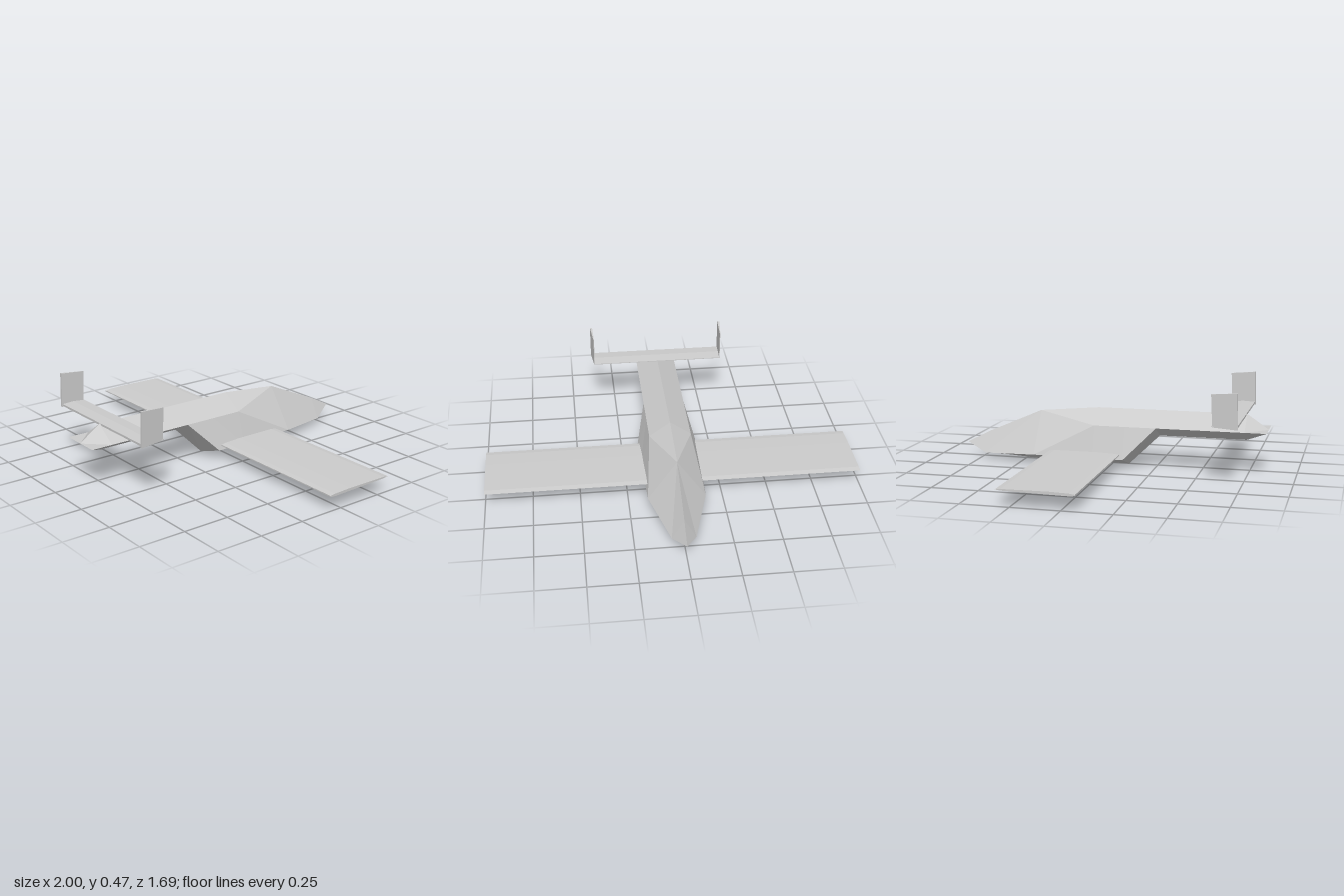
import * as THREE from 'three';

const material = new THREE.MeshStandardMaterial({ color: 0xcccccc, flatShading: true });

function addPart(group, name, geometry) {
  const mesh = new THREE.Mesh(geometry, material);
  mesh.name = name;
  group.add(mesh);
  return mesh;
}

// Extrudes a [z, y] side profile along x from x0 to x1
function extrudeProfile(points, x0, x1) {
  const shape = new THREE.Shape(points.map(([z, y]) => new THREE.Vector2(-z, y)));
  const geometry = new THREE.ExtrudeGeometry(shape, { depth: x1 - x0, bevelEnabled: false });
  return geometry.rotateY(Math.PI / 2).translate(x0, 0, 0);
}

// Faceted hull: each station runs ridge, shoulder, chine, keel; both halves mirror
function hullGeometry() {
  // z, ridge y, shoulder x y, chine x y, keel y
  const stations = [
    [-0.845, 0.08, 0, 0.08, 0, 0.08, 0.08],
    [-0.72, 0.145, 0, 0.145, 0.062, 0.035, 0.025],
    [-0.41, 0.28, 0, 0.28, 0.152, 0.06, 0.005],
    [-0.08, 0.31, 0.113, 0.23, 0.16, 0.06, 0.005],
    [0.09, 0.31, 0.113, 0.23, 0.165, 0.06, 0.005],
    [0.26, 0.31, 0.113, 0.23, 0.113, 0.23, 0.17],
    [0.73, 0.31, 0.113, 0.23, 0.113, 0.23, 0.17],
    [0.845, 0.23, 0.113, 0.23, 0.113, 0.23, 0.23],
  ].map(([z, ridge, sx, sy, cx, cy, keel]) =>
    [[0, ridge], [sx, sy], [cx, cy], [0, keel]].map(([x, y]) => new THREE.Vector3(x, y, z)));

  const positions = [];
  const triangle = (a, b, c) => {
    if (new THREE.Triangle(a, b, c).getArea() < 1e-6) return;
    for (const p of [a, b, c]) positions.push(p.x, p.y, p.z);
    for (const p of [a, c, b]) positions.push(-p.x, p.y, p.z);
  };
  for (let i = 0; i < stations.length - 1; i++) {
    const a = stations[i], b = stations[i + 1];
    for (let j = 0; j < 3; j++) {
      triangle(a[j], b[j], a[j + 1]);
      triangle(b[j], b[j + 1], a[j + 1]);
    }
  }
  const geometry = new THREE.BufferGeometry();
  geometry.setAttribute('position', new THREE.Float32BufferAttribute(positions, 3));
  geometry.computeVertexNormals();
  return geometry;
}

// Upright end plate, thin at its forward edge and thicker at the back
function finGeometry(side) {
  const geometry = extrudeProfile([[0.6, 0.303], [0.73, 0.296], [0.725, 0.48], [0.592, 0.47]], 0, 1);
  const position = geometry.attributes.position;
  for (let i = 0; i < position.count; i++) {
    const t = (position.getZ(i) - 0.592) / 0.138;
    const outer = (position.getX(i) > 0.5) === (side > 0);
    position.setX(i, side * (outer ? 0.37 + 0.014 * t : 0.367 + 0.004 * t));
  }
  geometry.computeVertexNormals();
  return geometry;
}

export function createModel() {
  const group = new THREE.Group();
  group.name = 'aircraft';

  addPart(group, 'fuselage', hullGeometry());

  // Straight main wing passing through the hull
  addPart(group, 'wing', extrudeProfile([
    [-0.32, 0.087], [-0.29, 0.083], [0.04, 0.077], [0.07, 0.08],
    [0.07, 0.086], [0.04, 0.09], [-0.06, 0.093], [-0.29, 0.091],
  ], -1, 1));

  // Tailplane with two upright fins
  addPart(group, 'tailplane', extrudeProfile([
    [0.595, 0.305], [0.725, 0.3], [0.725, 0.311], [0.66, 0.315], [0.595, 0.309],
  ], -0.372, 0.372));
  addPart(group, 'leftFin', finGeometry(1));
  addPart(group, 'rightFin', finGeometry(-1));

  return group;
}
